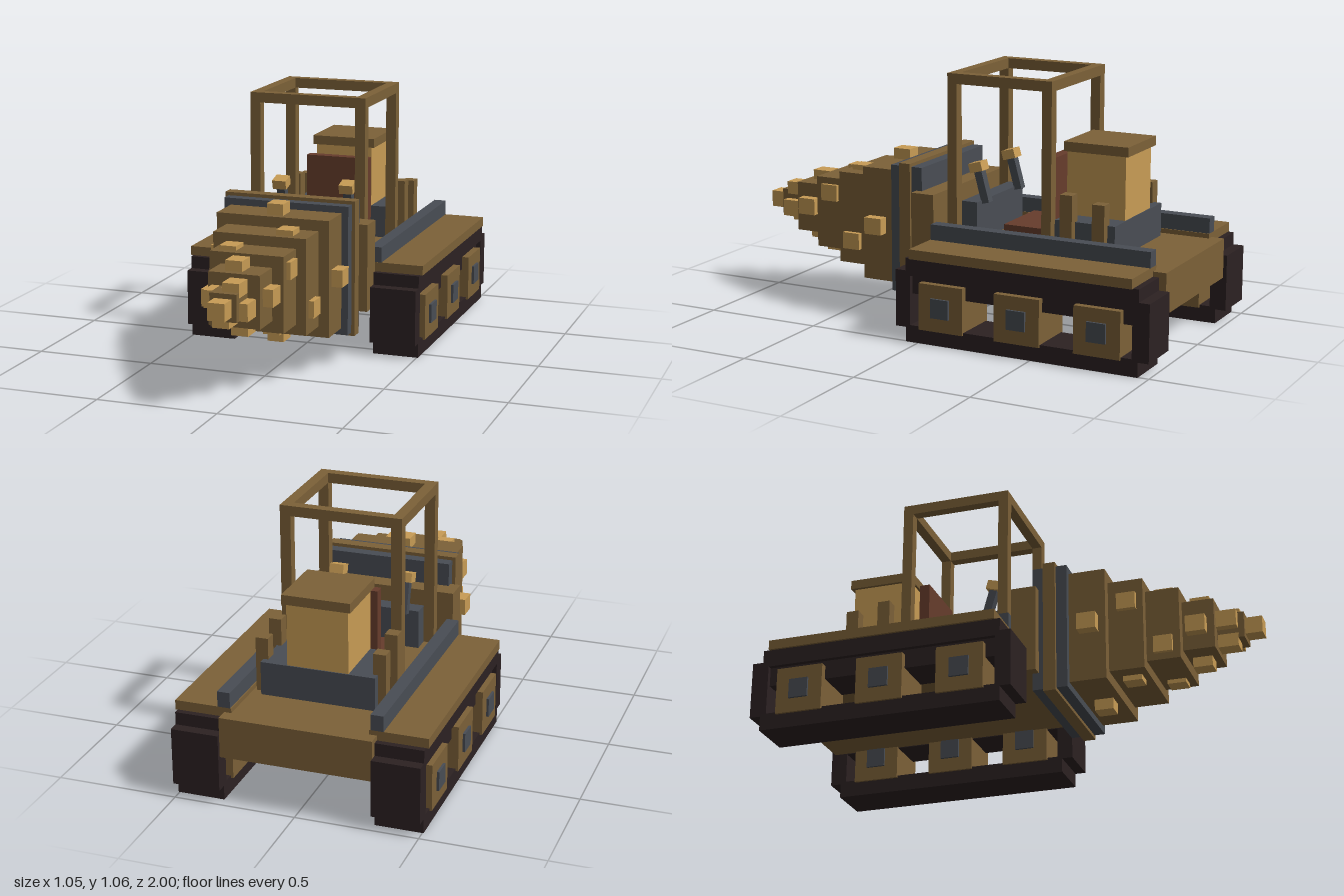
import * as THREE from 'three';

const mat = (name, color) => {
  const m = new THREE.MeshStandardMaterial({ color });
  m.name = name;
  return m;
};

export function createModel() {
  const bronze = mat('bronze', 0x7c6138);
  const brass = mat('brass', 0xc89c55);
  const steel = mat('steel', 0x494d54);
  const rubber = mat('rubber', 0x2c2122);
  const leather = mat('leather', 0x673d2c);

  const root = new THREE.Group();
  root.name = 'drillTractor';

  const group = (name) => {
    const g = new THREE.Group();
    g.name = name;
    root.add(g);
    return g;
  };
  // Box given by its limits on each axis
  const box = (parent, name, m, [x0, x1], [y0, y1], [z0, z1]) => {
    const mesh = new THREE.Mesh(new THREE.BoxGeometry(x1 - x0, y1 - y0, z1 - z0), m);
    mesh.position.set((x0 + x1) / 2, (y0 + y1) / 2, (z0 + z1) / 2);
    mesh.name = name;
    parent.add(mesh);
    return mesh;
  };
  const span = (s, a, b) => (s > 0 ? [a, b] : [-b, -a]);

  // Hull
  const hull = group('hull');
  box(hull, 'chassis', bronze, [-0.31, 0.31], [0.2, 0.367], [-0.985, 0.035]);
  box(hull, 'frontPanel', bronze, [-0.31, 0.31], [0.2, 0.565], [0.035, 0.138]);

  // Tracks, fenders and rails on both sides
  for (const s of [1, -1]) {
    const track = group(s > 0 ? 'leftTrack' : 'rightTrack');
    const tx = span(s, 0.31, 0.505);
    box(track, 'trackBottom', rubber, tx, [0, 0.07], [-0.955, 0.055]);
    box(track, 'trackTop', rubber, tx, [0.275, 0.347], [-0.955, 0.055]);
    box(track, 'trackCore', rubber, span(s, 0.311, 0.485), [0.197, 0.275], [-0.93, 0.035]);
    box(track, 'trackFront', rubber, tx, [0.06, 0.295], [0.035, 0.1]);
    box(track, 'trackRear', rubber, tx, [0.06, 0.295], [-1, -0.93]);
    for (const z of [-0.108, -0.445, -0.787]) {
      box(track, 'wheel', bronze, span(s, 0.3, 0.515), [0.06, 0.253], [z - 0.098, z + 0.098]);
      box(track, 'hub', steel, span(s, 0.29, 0.525), [0.118, 0.198], [z - 0.04, z + 0.04]);
    }
    box(track, 'fender', bronze, span(s, 0.28, 0.515), [0.346, 0.386], [-0.93, 0.034]);
    box(track, 'rail', steel, span(s, 0.285, 0.337), [0.386, 0.45], [-0.93, 0.033]);
  }

  // Cab frame
  const cab = group('cabFrame');
  for (const s of [1, -1]) {
    for (const z of [-0.465, -0.042]) {
      box(cab, 'post', bronze, span(s, 0.208, 0.252), [0.366, 1.018], [z, z + 0.042]);
    }
    box(cab, 'roofSide', bronze, span(s, 0.208, 0.252), [1.018, 1.06], [-0.465, 0]);
  }
  for (const z of [-0.465, -0.042]) {
    box(cab, 'roofCross', bronze, [-0.208, 0.208], [1.018, 1.06], [z, z + 0.042]);
  }

  // Seat
  const seat = group('seat');
  box(seat, 'cushion', leather, [-0.14, 0.14], [0.366, 0.435], [-0.385, -0.2]);
  box(seat, 'backrest', leather, [-0.14, 0.14], [0.366, 0.732], [-0.428, -0.385]);

  // Dashboard and tilted levers
  const controls = group('controls');
  box(controls, 'dashboard', steel, [-0.208, 0.208], [0.366, 0.53], [-0.112, -0.043]);
  for (const s of [1, -1]) {
    const lever = new THREE.Group();
    lever.name = 'lever';
    lever.position.set(s * 0.148, 0.52, -0.128);
    lever.rotation.x = 0.27;
    box(lever, 'leverShaft', steel, [-0.018, 0.018], [0, 0.14], [-0.017, 0.017]);
    box(lever, 'leverKnob', brass, [-0.03, 0.03], [0.133, 0.172], [-0.029, 0.029]);
    controls.add(lever);
  }

  // Engine with exhaust stacks
  const engine = group('engine');
  box(engine, 'engineBase', steel, [-0.236, 0.236], [0.366, 0.505], [-0.735, -0.475]);
  box(engine, 'engineBlock', brass, [-0.126, 0.126], [0.505, 0.765], [-0.73, -0.476]);
  box(engine, 'engineCap', bronze, [-0.14, 0.14], [0.765, 0.804], [-0.745, -0.466]);
  for (const s of [1, -1]) {
    box(engine, 'frontExhaust', bronze, span(s, 0.216, 0.268), [0.366, 0.617], [-0.564, -0.511]);
    box(engine, 'rearExhaust', bronze, span(s, 0.216, 0.268), [0.366, 0.592], [-0.703, -0.65]);
  }

  // Drill: square steps around one axis
  const drill = group('drill');
  drill.position.y = 0.395;
  const step = (name, m, r, z0, z1) => box(drill, name, m, [-r, r], [-r, r], [z0, z1]);
  step('rearCollar', steel, 0.267, 0.112, 0.16);
  step('middleCollar', bronze, 0.281, 0.16, 0.211);
  step('frontCollar', steel, 0.267, 0.211, 0.256);

  // Each step: half width, z limits, tooth z limits, tooth reach,
  // then the tooth shift along the top, bottom, left and right faces
  const steps = [
    [0.239, 0.256, 0.408, 0.3, 0.378, 0.285, [0, 0, 0, 0]],
    [0.195, 0.408, 0.552, 0.447, 0.525, 0.217, [0.095, -0.097, -0.095, 0.097]],
    [0.153, 0.552, 0.69, 0.583, 0.66, 0.17, [-0.09, 0.09, 0.09, -0.09]],
    [0.106, 0.69, 0.82, 0.71, 0.79, 0.148, [-0.012, 0.01, 0.012, -0.01]],
    [0.055, 0.82, 0.93, 0.822, 0.905, 0.09, [0.021, -0.021, -0.02, 0.02]],
  ];
  const w = 0.035;
  for (const [r, z0, z1, t0, t1, reach, [top, bottom, left, right]] of steps) {
    step('drillStep', bronze, r, z0, z1);
    const inner = r - 0.02;
    const tooth = (x, y) => box(drill, 'tooth', brass, x, y, [t0, t1]);
    tooth([top - w, top + w], [inner, reach]);
    tooth([bottom - w, bottom + w], [-reach, -inner]);
    tooth([inner, reach], [left - w, left + w]);
    tooth([-reach, -inner], [right - w, right + w]);
  }
  step('drillTip', brass, 0.035, 0.93, 1);

  return root;
}
